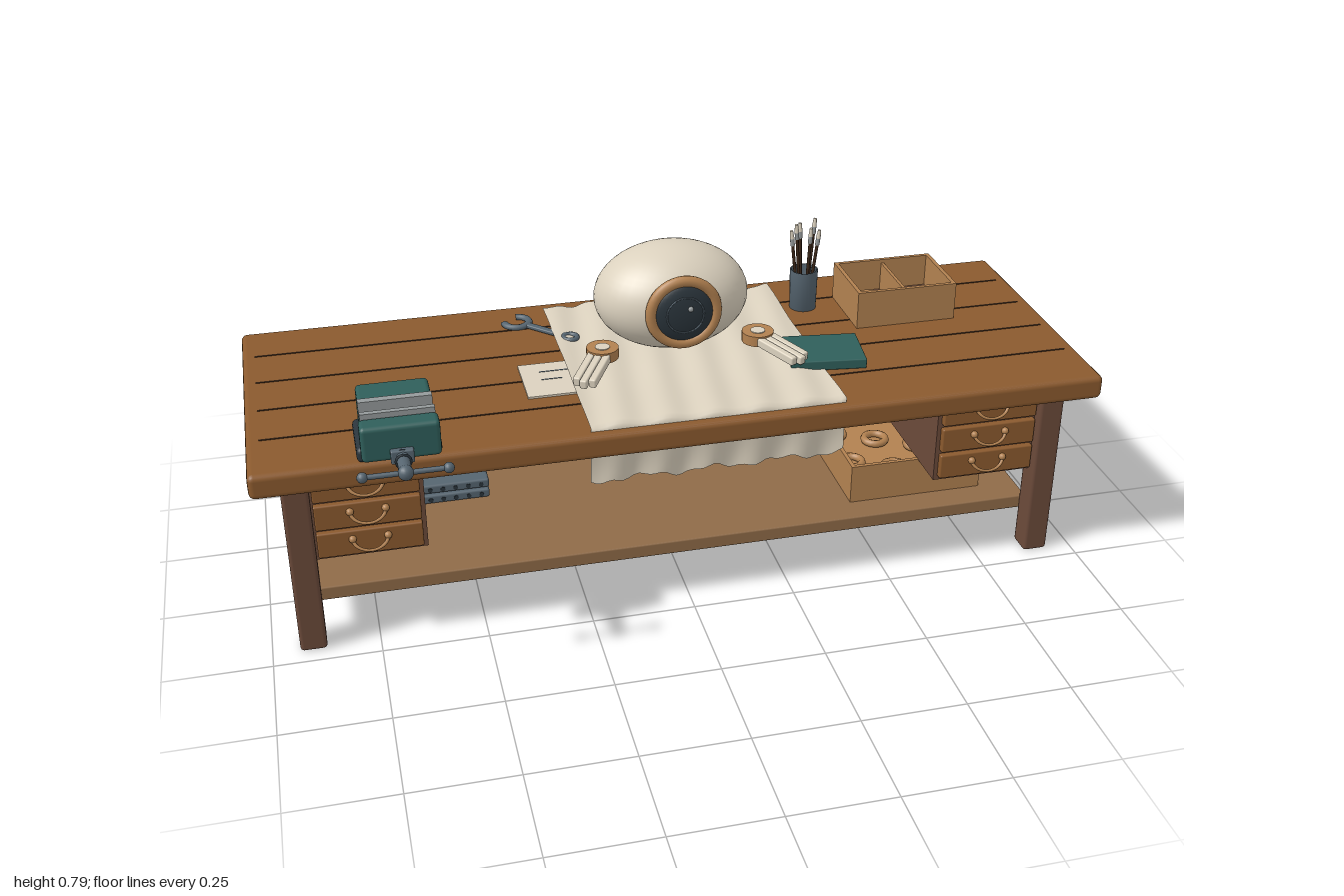
import * as THREE from 'three';
import { RoundedBoxGeometry } from 'three/addons/geometries/RoundedBoxGeometry.js';

const mat = (name, color, side = THREE.FrontSide) => {
  const m = new THREE.MeshStandardMaterial({ color, side });
  m.name = name;
  return m;
};

export function createModel() {
  const root = new THREE.Group();
  root.name = 'workbench';
  const oak = mat('oak', 0x8b5a2e);
  const darkWood = mat('dark wood', 0x6b4a3a);
  const shelfWood = mat('shelf wood', 0x8f6b48);
  const copper = mat('copper wood', 0xb28150);
  const teal = mat('teal paint', 0x2f5f5b);
  const steel = mat('blue steel', 0x566570);
  const dark = mat('dark iron', 0x2a343b);
  const ivory = mat('ivory', 0xdbd1be, THREE.DoubleSide);
  const silver = mat('silver', 0x959a9b);
  const groove = mat('groove brown', 0x3a2618);

  const add = (name, geo, m, x = 0, y = 0, z = 0, parent = root) => {
    const mesh = new THREE.Mesh(geo, m);
    mesh.name = name;
    mesh.position.set(x, y, z);
    parent.add(mesh);
    return mesh;
  };
  // Box from its limits, with optional rounding
  const box = (name, m, x0, x1, y0, y1, z0, z1, r = 0, parent = root) => {
    const s = [x1 - x0, y1 - y0, z1 - z0];
    const g = r ? new RoundedBoxGeometry(...s, 2, r) : new THREE.BoxGeometry(...s);
    return add(name, g, m, (x0 + x1) / 2, (y0 + y1) / 2, (z0 + z1) / 2, parent);
  };
  const cyl = (name, m, r, h, x, y, z, parent = root, n = 20) =>
    add(name, new THREE.CylinderGeometry(r, r, h, n), m, x, y, z, parent);
  const group = (name, x = 0, y = 0, z = 0) => {
    const g = new THREE.Group();
    g.name = name;
    g.position.set(x, y, z);
    root.add(g);
    return g;
  };

  // Bench top, plank gaps, legs and lower shelf
  box('benchTop', oak, -1, 1, 0.457, 0.517, -0.45, 0.27, 0.014);
  for (const z of [-0.31, -0.17, -0.03, 0.11])
    box('plankGap', groove, -0.97, 0.97, 0.512, 0.5185, z - 0.0025, z + 0.0025);
  for (const x of [-0.905, 0.905])
    for (const z of [0.18, -0.36])
      box('leg', darkWood, x - 0.031, x + 0.031, 0, 0.46, z - 0.031, z + 0.031, 0.009);
  box('lowerShelf', shelfWood, -0.89, 0.89, 0.098, 0.133, -0.335, 0.155, 0.004);

  // Drawer cabinets with bail handles
  for (const s of [-1, 1]) {
    box('cabinet', darkWood, s * 0.75 - 0.13, s * 0.75 + 0.13, 0.233, 0.457, -0.33, 0.185);
    for (let i = 0; i < 3; i++) {
      const y = 0.275 + i * 0.073;
      box('drawerFront', oak, s * 0.75 - 0.12, s * 0.75 + 0.12, y - 0.032, y + 0.032, 0.18, 0.2, 0.004);
      const bail = add('drawerHandle', new THREE.TorusGeometry(0.04, 0.0045, 8, 20, Math.PI), copper, s * 0.75, y + 0.012, 0.203);
      bail.scale.y = 0.75;
      bail.rotation.x = Math.PI - 0.55;
      for (const k of [-1, 1])
        add('handleKnob', new THREE.SphereGeometry(0.009, 12, 8), copper, s * 0.75 + k * 0.04, y + 0.012, 0.203);
    }
  }

  // Open boxes: a floor and four walls
  const tray = (name, x0, x1, y0, y1, z0, z1, t = 0.01) => {
    box(name + 'Floor', copper, x0, x1, y0, y0 + t, z0, z1);
    for (const [a, b] of [[z0, z0 + t], [z1 - t, z1]]) box(name + 'Wall', copper, x0, x1, y0, y1, a, b);
    for (const [a, b] of [[x0, x0 + t], [x1 - t, x1]]) box(name + 'Wall', copper, a, b, y0, y1, z0 + t, z1 - t);
  };
  tray('partsTray', 0.51, 0.77, 0.518, 0.615, -0.31, -0.115);
  box('trayLining', darkWood, 0.52, 0.76, 0.528, 0.532, -0.3, -0.125);
  box('trayDivider', copper, 0.636, 0.644, 0.528, 0.605, -0.3, -0.125);
  add('traySpool', new THREE.TorusGeometry(0.034, 0.013, 10, 24), copper, 0.578, 0.545, -0.213).rotation.x = Math.PI / 2;
  cyl('spoolCore', copper, 0.013, 0.02, 0.578, 0.542, -0.213);
  for (let i = 0; i < 7; i++)
    add('trayScrew', new THREE.SphereGeometry(0.009, 10, 8), steel, 0.68 + (i % 2) * 0.035, 0.54, -0.25 + i * 0.014);
  tray('shelfCrate', 0.445, 0.79, 0.133, 0.235, -0.29, 0.085);
  for (let i = 0; i < 5; i++) {
    const r = add('crateRing', new THREE.TorusGeometry(0.028, 0.01, 8, 20), copper, 0.5 + (i % 3) * 0.1, 0.155, -0.22 + i * 0.05);
    r.rotation.x = Math.PI / 2;
  }

  // Stacked perforated steel beams
  for (const y of [0.146, 0.175]) {
    box('steelBeam', steel, -0.7, -0.435, y - 0.011, y + 0.013, -0.32, -0.15, 0.006);
    for (let i = 0; i < 8; i++)
      for (const z of [-0.32, -0.15])
        cyl('beamHole', dark, 0.006, 0.003, -0.68 + i * 0.032, y, z, root, 10).rotation.x = Math.PI / 2;
  }
  box('beamStrap', dark, -0.702, -0.67, 0.135, 0.189, -0.322, -0.148);

  // Bench vise
  const vise = group('vise', -0.67, 0, 0);
  box('viseBase', dark, -0.093, 0.093, 0.517, 0.553, 0.118, 0.268, 0.012, vise);
  box('fixedJaw', teal, -0.08, 0.08, 0.545, 0.655, 0.153, 0.235, 0.01, vise);
  box('movingJaw', teal, -0.085, 0.085, 0.567, 0.65, 0.306, 0.356, 0.01, vise);
  box('fixedJawPlate', silver, -0.08, 0.08, 0.62, 0.66, 0.235, 0.253, 0, vise);
  box('movingJawPlate', silver, -0.08, 0.08, 0.62, 0.66, 0.295, 0.308, 0, vise);
  box('slideBar', steel, -0.025, 0.025, 0.565, 0.597, 0.135, 0.37, 0.004, vise);
  cyl('viseScrew', steel, 0.014, 0.31, 0, 0.58, 0.285, vise).rotation.x = Math.PI / 2;
  for (let i = 0; i < 13; i++)
    add('screwThread', new THREE.TorusGeometry(0.016, 0.003, 6, 16), dark, 0, 0.58, 0.145 + i * 0.02, vise);
  add('screwHead', new THREE.SphereGeometry(0.017, 16, 12), steel, 0, 0.58, 0.432, vise);
  cyl('viseHandle', steel, 0.006, 0.18, 0, 0.58, 0.432, vise).rotation.z = Math.PI / 2;
  for (const k of [-1, 1])
    add('handleBall', new THREE.SphereGeometry(0.012, 12, 10), steel, k * 0.09, 0.58, 0.432, vise);

  // Rippled cloth that drops below the front edge
  const cloth = new THREE.PlaneGeometry(1, 1, 48, 40);
  const p = cloth.attributes.position;
  for (let i = 0; i < p.count; i++) {
    const u = p.getX(i) + 0.5, v = 0.5 - p.getY(i);
    const x = -0.243 + u * 0.603;
    const rag = 0.006 * Math.sin(u * 23) + 0.004 * Math.sin(u * 61);
    const flat = Math.min(v / 0.8, 1), drop = Math.max(v - 0.8, 0) / 0.2;
    const ripple = 0.004 * Math.sin(u * 34 + v * 5) + 0.002 * Math.sin(v * 19);
    p.setXYZ(i, x, 0.527 + ripple - drop * (0.148 + rag),
      -0.4 + flat * 0.647 + rag * (1 - flat) - drop * 0.012 + drop * ripple * 1.5);
  }
  cloth.computeVertexNormals();
  add('cloth', cloth, ivory);

  // Egg-shaped head with a round lens
  add('headShell', new THREE.SphereGeometry(1, 40, 28), ivory, 0.035, 0.655, -0.147).scale.set(0.19, 0.13, 0.148);
  const eye = group('eye', 0.035, 0.663, -0.014);
  add('lensRing', new THREE.TorusGeometry(0.08, 0.0135, 12, 40), copper, 0, 0, 0, eye);
  const lens = add('lens', new THREE.SphereGeometry(0.074, 32, 20), dark, 0, 0, 0, eye);
  lens.scale.z = 0.3;
  add('lensInnerRing', new THREE.TorusGeometry(0.045, 0.002, 6, 32), steel, 0, 0, 0.0175, eye);
  add('lensGlint', new THREE.SphereGeometry(0.007, 10, 8), silver, 0.012, 0.016, 0.02, eye);

  // Detached hands: wrist joint and three fingers each
  for (const s of [-1, 1]) {
    const hand = group('hand', 0.037 + s * 0.193, 0.56, -0.05);
    hand.rotation.y = s * 0.5;
    cyl('wristJoint', copper, 0.039, 0.026, 0, 0.003, 0, hand, 24);
    cyl('wristPin', ivory, 0.018, 0.03, 0, 0.003, 0, hand);
    for (let i = -1; i <= 1; i++) {
      const f = box('finger', ivory, i * 0.019 - 0.009, i * 0.019 + 0.009, -0.014, 0.008, 0.025, 0.155 - Math.abs(i) * 0.01, 0.004, hand);
      f.rotation.x = 0.08;
    }
  }

  // Paper sheet with ruled marks
  box('paper', ivory, -0.355, -0.235, 0.517, 0.522, -0.105, 0.06);
  for (const [z, w] of [[-0.06, 0.07], [-0.02, 0.05]])
    box('paperLine', steel, -0.31, -0.31 + w, 0.522, 0.523, z - 0.0015, z + 0.0015);

  // Teal book
  const book = box('book', teal, 0.288, 0.472, 0.518, 0.543, -0.058, 0.086, 0.003);
  book.rotation.y = -0.13;

  // Open-ended wrench: C-shaped jaw, shaft and ring end
  const wrench = group('wrench', -0.32, 0.524, -0.34);
  wrench.rotation.y = -0.79;
  const jaw = add('wrenchJaw', new THREE.TorusGeometry(0.031, 0.01, 8, 24, 4.6), steel, 0, 0, 0, wrench);
  jaw.rotation.set(Math.PI / 2, 0, 0.84);
  jaw.scale.z = 0.7;
  jaw.rotation.z = Math.PI - 2.3 - Math.PI;
  box('wrenchShaft', steel, 0.03, 0.15, -0.005, 0.005, -0.009, 0.009, 0.003, wrench);
  add('wrenchRing', new THREE.TorusGeometry(0.017, 0.007, 8, 20), steel, 0.165, 0, 0, wrench).rotation.x = Math.PI / 2;

  // Brush pot: hollow turned cup with brushes
  const pot = group('brushPot', 0.417, 0.517, -0.275);
  const profile = [[0, 0], [0.034, 0], [0.036, 0.105], [0.031, 0.105], [0.03, 0.012], [0, 0.012]];
  add('pot', new THREE.LatheGeometry(profile.map(a => new THREE.Vector2(...a)), 24), steel, 0, 0, 0, pot);
  for (let i = 0; i < 6; i++) {
    const a = i * Math.PI / 3 + 0.3;
    const brush = new THREE.Group();
    brush.name = 'brush';
    brush.position.set(0.013 * Math.cos(a), 0.012, 0.01 * Math.sin(a));
    brush.rotation.set(0.05 * Math.sin(a), 0, -0.12 * Math.cos(a));
    pot.add(brush);
    const h = 0.17 + (i % 3) * 0.012;
    cyl('brushHandle', groove, 0.004, h, 0, h / 2, 0, brush, 10);
    cyl('brushFerrule', silver, 0.0055, 0.02, 0, h, 0, brush, 10);
    add('brushTip', new THREE.CylinderGeometry(0.004, 0.006, 0.022, 10), ivory, 0, h + 0.02, 0, brush);
  }

  // Centre the bench in depth, vise handle included
  const b = new THREE.Box3().setFromObject(root), c = b.getCenter(new THREE.Vector3());
  root.children.forEach(o => { o.position.z -= c.z; });
  return root;
}
